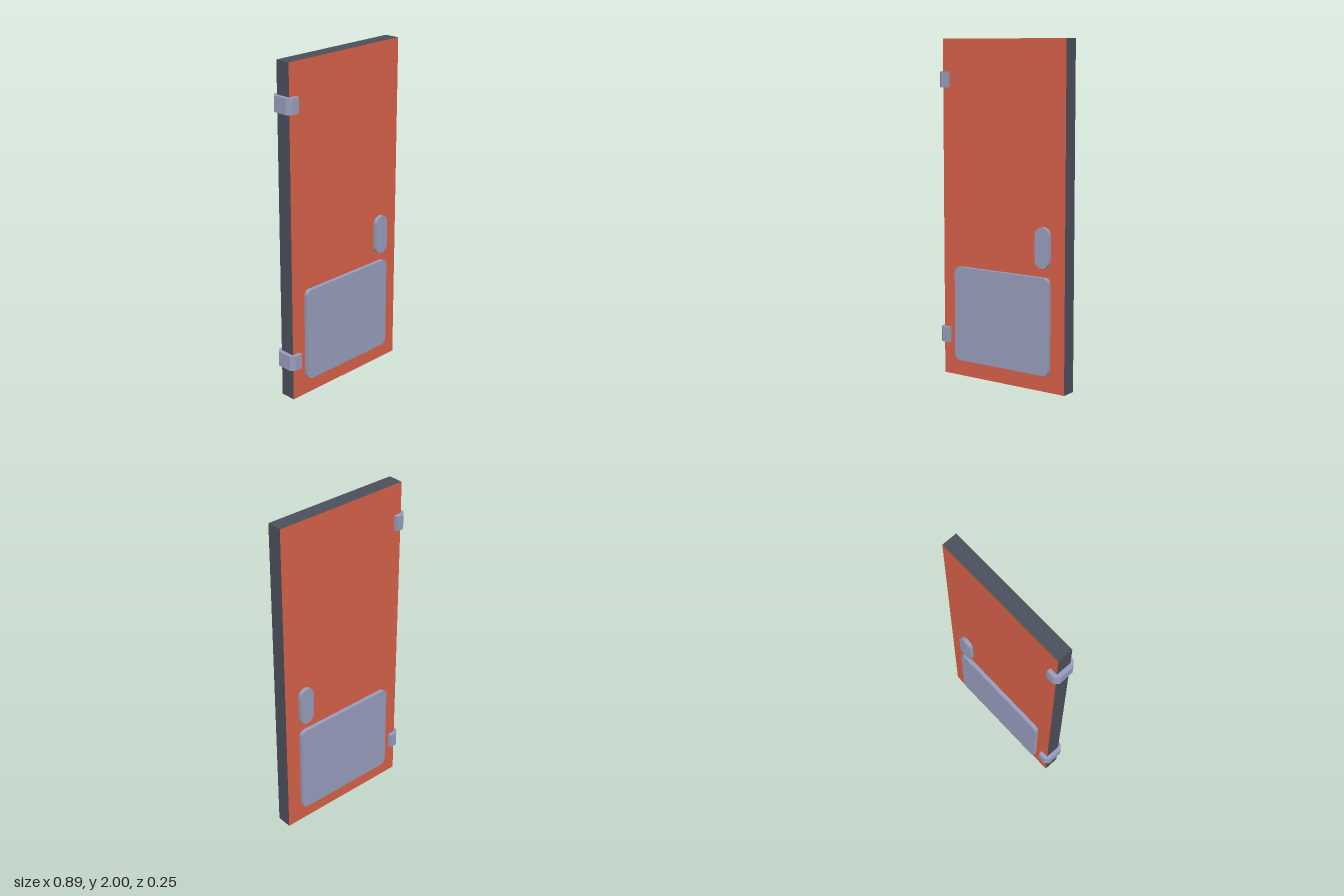
import * as THREE from 'three';

const material = (name, color) => {
  const m = new THREE.MeshStandardMaterial({ color });
  m.name = name;
  return m;
};

// Upright rectangle with rounded corners, centred on the origin
function roundedRect(w, h, r) {
  const x = w / 2, y = h / 2, q = Math.PI / 2;
  const s = new THREE.Shape();
  s.moveTo(-x + r, -y);
  s.absarc(x - r, -y + r, r, -q, 0);
  s.absarc(x - r, y - r, r, 0, q);
  s.absarc(-x + r, y - r, r, q, 2 * q);
  s.absarc(-x + r, -y + r, r, 2 * q, 3 * q);
  s.closePath();
  return s;
}

export function createModel() {
  const W = 0.857, H = 2, T = 0.094; // door slab
  const PLATE = 0.024;               // thickness of the fittings
  const paint = material('orange paint', 0xd46048);
  const edge = material('dark edge', 0x4b4f5a);
  const metal = material('pale metal', 0x969cbb);

  const model = new THREE.Group();
  model.name = 'door';

  // Slab: painted front and back, dark edges all round
  const slab = new THREE.Mesh(new THREE.BoxGeometry(W, H, T), [edge, edge, edge, edge, paint, paint]);
  slab.name = 'doorSlab';
  slab.position.y = H / 2;
  model.add(slab);

  // Kick plate and push plate on both faces
  const fittings = [
    ['kickPlate', 0, 0.382, 0.666, 0.566, 0.035, 3],
    ['pushPlate', 0.287, 0.835, 0.093, 0.236, 0.0464, 5],
  ];
  for (const [name, x, y, w, h, r, curveSegments] of fittings) {
    const geo = new THREE.ExtrudeGeometry(roundedRect(w, h, r), {
      depth: PLATE, bevelEnabled: false, curveSegments,
    });
    for (const [side, z] of [['Front', T / 2], ['Back', -T / 2 - PLATE]]) {
      const plate = new THREE.Mesh(geo, metal);
      plate.name = name + side;
      plate.position.set(x, y, z);
      model.add(plate);
    }
  }

  // Hinges: C-shaped brackets with chamfered corners wrapped round the edge
  const zo = T / 2 + PLATE, xo = -W / 2 - PLATE, xi = -0.38, c = 0.025;
  const bracket = new THREE.Shape([
    [xi, zo], [xo + c, zo], [xo, zo - c], [xo, -zo + c], [xo + c, -zo], [xi, -zo],
    [xi, -T / 2], [-W / 2, -T / 2], [-W / 2, T / 2], [xi, T / 2],
  ].map(([x, z]) => new THREE.Vector2(x, z)));
  const hingeH = 0.092;
  const hingeGeo = new THREE.ExtrudeGeometry(bracket, { depth: hingeH, bevelEnabled: false });
  hingeGeo.translate(0, 0, -hingeH / 2).rotateX(-Math.PI / 2);
  for (const [name, y] of [['lowerHinge', 0.241], ['upperHinge', 1.765]]) {
    const hinge = new THREE.Mesh(hingeGeo, metal);
    hinge.name = name;
    hinge.position.y = y;
    model.add(hinge);
  }

  // The door stands slightly ajar
  model.rotation.y = -0.146;
  model.position.set(0.01, 0, 0.005);
  const root = new THREE.Group();
  root.name = 'doorModel';
  root.add(model);
  return root;
}
